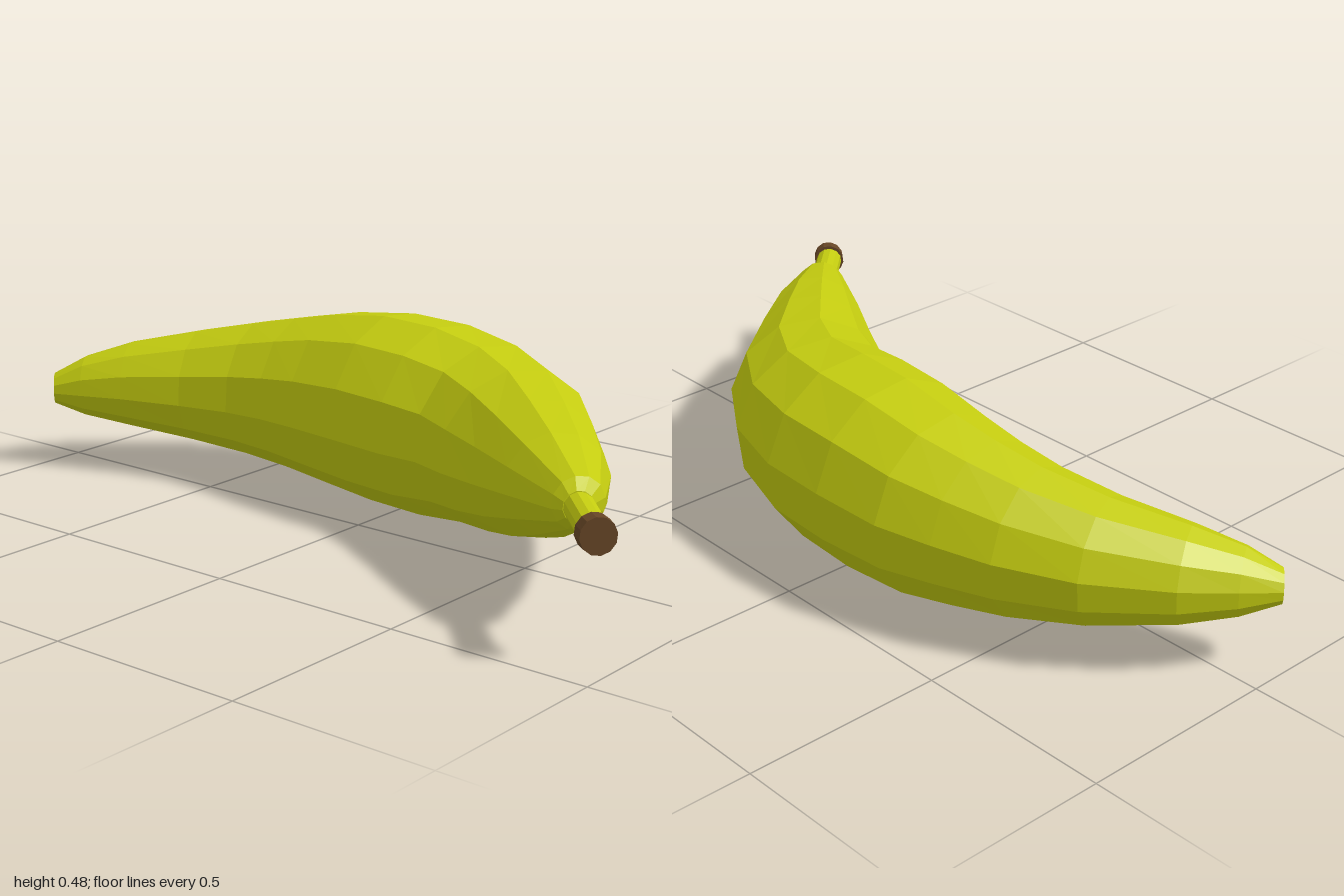
import * as THREE from 'three';

const SIDES = 12;
const PHASE = THREE.MathUtils.degToRad(8.5);

// Each section: [outer x, outer z, inner x, inner z, centre y, half height]
const BODY = [
  [-1.0, 0.07, -0.945, 0.13, 0.215, 0.04],
  [-0.95, -0.02, -0.87, 0.105, 0.222, 0.08],
  [-0.87, -0.13, -0.76, 0.065, 0.228, 0.112],
  [-0.71, -0.27, -0.6, 0.01, 0.231, 0.147],
  [-0.54, -0.365, -0.46, -0.02, 0.236, 0.177],
  [-0.4, -0.415, -0.35, -0.025, 0.24, 0.2],
  [-0.26, -0.455, -0.24, -0.018, 0.243, 0.223],
  [-0.07, -0.466, -0.08, 0.005, 0.247, 0.242],
  [0.12, -0.456, 0.08, 0.025, 0.246, 0.241],
  [0.32, -0.395, 0.2, 0.033, 0.246, 0.222],
  [0.5, -0.275, 0.31, 0.08, 0.248, 0.2],
  [0.65, -0.09, 0.45, 0.152, 0.262, 0.165],
  [0.77, 0.07, 0.6, 0.235, 0.281, 0.12],
  [0.865, 0.24, 0.79, 0.332, 0.302, 0.06],
  [0.868, 0.287, 0.823, 0.339, 0.304, 0.035],
];
const STEM = [
  [0.866, 0.284, 0.82, 0.334, 0.304, 0.033],
  [0.968, 0.385, 0.922, 0.435, 0.298, 0.033],
];
const STEM_CAP = [
  [0.972, 0.38, 0.918, 0.44, 0.298, 0.041],
  [0.998, 0.401, 0.944, 0.459, 0.297, 0.041],
];

// Points of one oval cross-section, spanning the outer and inner curve
function ring([ox, oz, ix, iz, y, h]) {
  const cx = (ox + ix) / 2, cz = (oz + iz) / 2;
  return Array.from({ length: SIDES }, (_, k) => {
    const a = PHASE + (k / SIDES) * Math.PI * 2;
    const c = Math.cos(a) * 1.01, s = Math.sin(a) * 1.01;
    return [cx + (ox - cx) * c, y + h * s, cz + (oz - cz) * c];
  });
}

function geometryFrom(points) {
  const geo = new THREE.BufferGeometry();
  geo.setAttribute('position', new THREE.Float32BufferAttribute(points.flat(), 3));
  geo.computeVertexNormals();
  return geo;
}

// Faceted skin between successive sections
function loft(sections) {
  const rings = sections.map(ring), pts = [];
  for (let i = 0; i < rings.length - 1; i++) {
    for (let k = 0; k < SIDES; k++) {
      const n = (k + 1) % SIDES, a = rings[i], b = rings[i + 1];
      pts.push(a[k], a[n], b[n], a[k], b[n], b[k]);
    }
  }
  return geometryFrom(pts);
}

// Flat end face of a section
function endFace(section, atStart) {
  const r = ring(section), pts = [];
  for (let k = 1; k < SIDES - 1; k++) {
    pts.push(r[0], ...(atStart ? [r[k + 1], r[k]] : [r[k], r[k + 1]]));
  }
  return geometryFrom(pts);
}

export function createModel() {
  const peel = new THREE.MeshStandardMaterial({ color: 0xc4cc10, flatShading: true });
  peel.name = 'yellowPeel';
  const brown = new THREE.MeshStandardMaterial({ color: 0x664626, flatShading: true });
  brown.name = 'brownEnd';

  const group = new THREE.Group();
  group.name = 'banana';
  const add = (name, geo, material) => {
    const mesh = new THREE.Mesh(geo, material);
    mesh.name = name;
    group.add(mesh);
  };

  // Curved fruit and its shoulder
  add('body', loft(BODY), peel);
  add('shoulder', endFace(BODY[BODY.length - 1], false), peel);
  add('blossomTip', endFace(BODY[0], true), brown);

  // Stem with its cut end
  add('stem', loft(STEM), peel);
  add('stemCap', loft(STEM_CAP), brown);
  add('stemCapBack', endFace(STEM_CAP[0], true), brown);
  add('stemCapFront', endFace(STEM_CAP[1], false), brown);

  return group;
}
